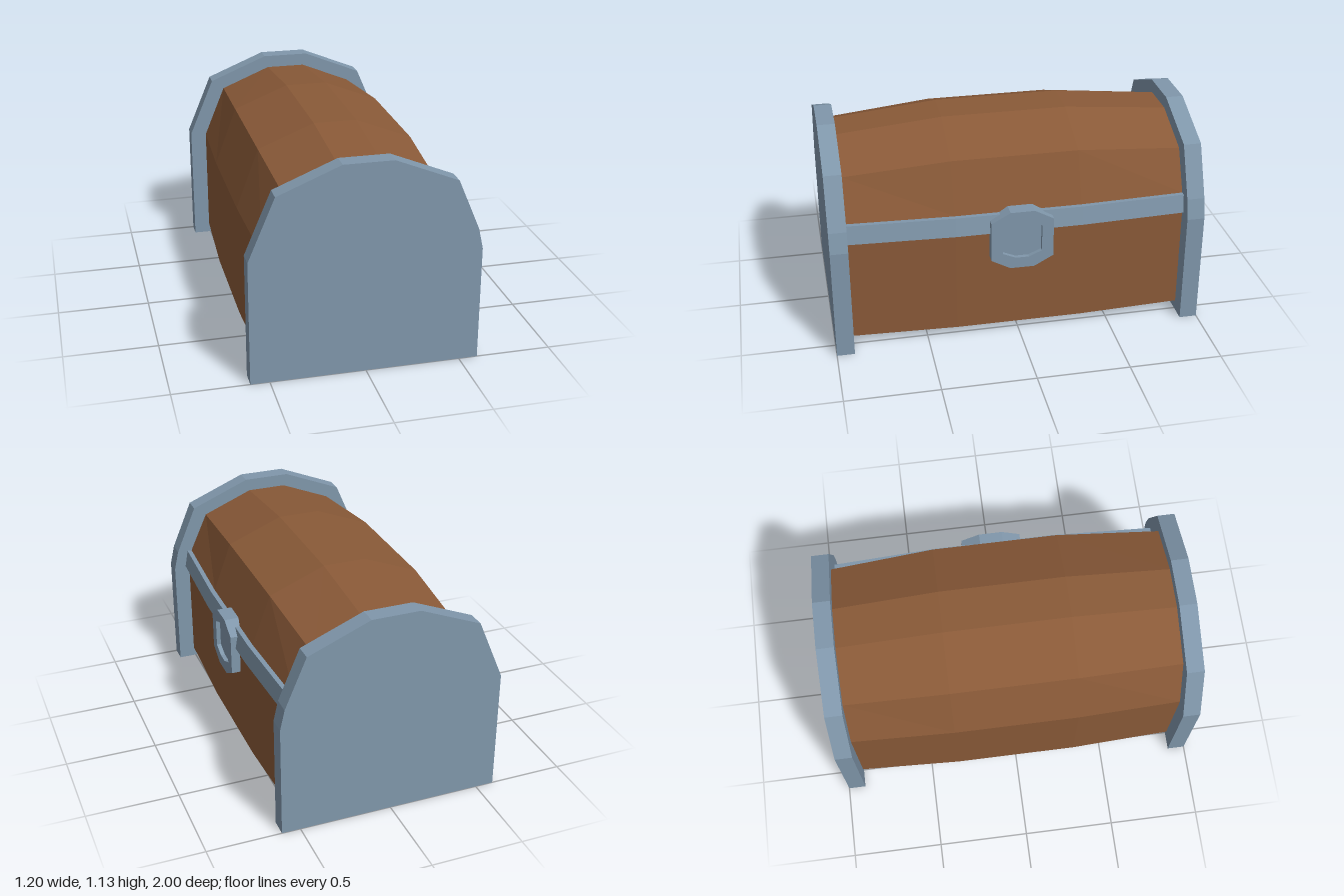
import * as THREE from 'three';

const wood = new THREE.MeshStandardMaterial({ color: 0x8a5a38, flatShading: true });
wood.name = 'brown wood';
const iron = new THREE.MeshStandardMaterial({ color: 0x8097ab, flatShading: true });
iron.name = 'blue grey iron';

// Joins matching cross-sections [[x, y], ...] (anticlockwise) placed along z
function loft(sections, zs) {
  const pos = [];
  for (let s = 0; s < zs.length - 1; s++) {
    const p = sections[s], q = sections[s + 1];
    for (let i = 0; i < p.length; i++) {
      const j = (i + 1) % p.length;
      const a = [...p[i], zs[s]], b = [...p[j], zs[s]];
      const c = [...q[j], zs[s + 1]], d = [...q[i], zs[s + 1]];
      pos.push(...a, ...b, ...c, ...a, ...c, ...d);
    }
  }
  const g = new THREE.BufferGeometry();
  g.setAttribute('position', new THREE.Float32BufferAttribute(pos, 3));
  g.computeVertexNormals();
  return g;
}

const toPoints = (list) => list.map(([x, y]) => new THREE.Vector2(x, y));

// Octagon with outer half sizes w, h and flat-edge half lengths fw, fh
const octagon = (w, h, fw, fh) => toPoints([
  [w, -fh], [w, fh], [fw, h], [-fw, h], [-w, fh], [-w, -fh], [-fw, -h], [fw, -h],
]);

function extrude(shape, depth) {
  return new THREE.ExtrudeGeometry(shape, { depth, bevelEnabled: false });
}

export function createModel() {
  const group = new THREE.Group();
  const add = (name, geometry, material, parent = group) => {
    const mesh = new THREE.Mesh(geometry, material);
    mesh.name = name;
    parent.add(mesh);
    return mesh;
  };

  // Wooden body and domed lid, bulging towards the middle
  const stations = [-0.905, -0.34, 0.34, 0.905];
  const endBody = [[0.51, 0.055], [0.51, 0.63], [0.49, 0.73], [0.39, 0.95], [0.11, 1.065],
    [-0.11, 1.065], [-0.39, 0.95], [-0.51, 0.66], [-0.51, 0.055]];
  const midBody = [[0.535, 0.055], [0.535, 0.63], [0.515, 0.73], [0.415, 1.0], [0.115, 1.12],
    [-0.115, 1.12], [-0.415, 1.0], [-0.535, 0.68], [-0.535, 0.055]];
  add('chestBody', loft([endBody, midBody, midBody, endBody], stations), wood);

  // Iron strip along the lid's front edge
  const endStrip = [[0.49, 0.63], [0.533, 0.63], [0.515, 0.73], [0.48, 0.73]];
  const midStrip = endStrip.map(([x, y]) => [x + 0.026, y]);
  add('lidStrip', loft([endStrip, midStrip, midStrip, endStrip], stations), iron);

  // Solid iron end panels
  const outline = new THREE.Shape(toPoints([[-0.6, 0], [0.6, 0], [0.6, 0.62], [0.575, 0.73],
    [0.46, 1.0], [0.13, 1.135], [-0.13, 1.135], [-0.46, 1.0], [-0.6, 0.67]]));
  const panel = extrude(outline, 0.095);
  add('frontEndPanel', panel, iron).position.z = 0.905;
  add('backEndPanel', panel, iron).position.z = -1;

  // Octagonal lock: raised rim around a recessed plate
  const lock = new THREE.Group();
  lock.name = 'lock';
  const rim = new THREE.Shape(octagon(0.167, 0.166, 0.065, 0.11));
  rim.holes.push(new THREE.Path(octagon(0.105, 0.105, 0.035, 0.075).reverse()));
  add('lockRim', extrude(rim, 0.085), iron, lock);
  const plate = new THREE.Shape(octagon(0.11, 0.11, 0.037, 0.079));
  add('lockPlate', extrude(plate, 0.062), iron, lock);
  lock.rotation.y = Math.PI / 2;
  lock.position.set(0.5, 0.59, -0.007);
  group.add(lock);

  return group;
}
